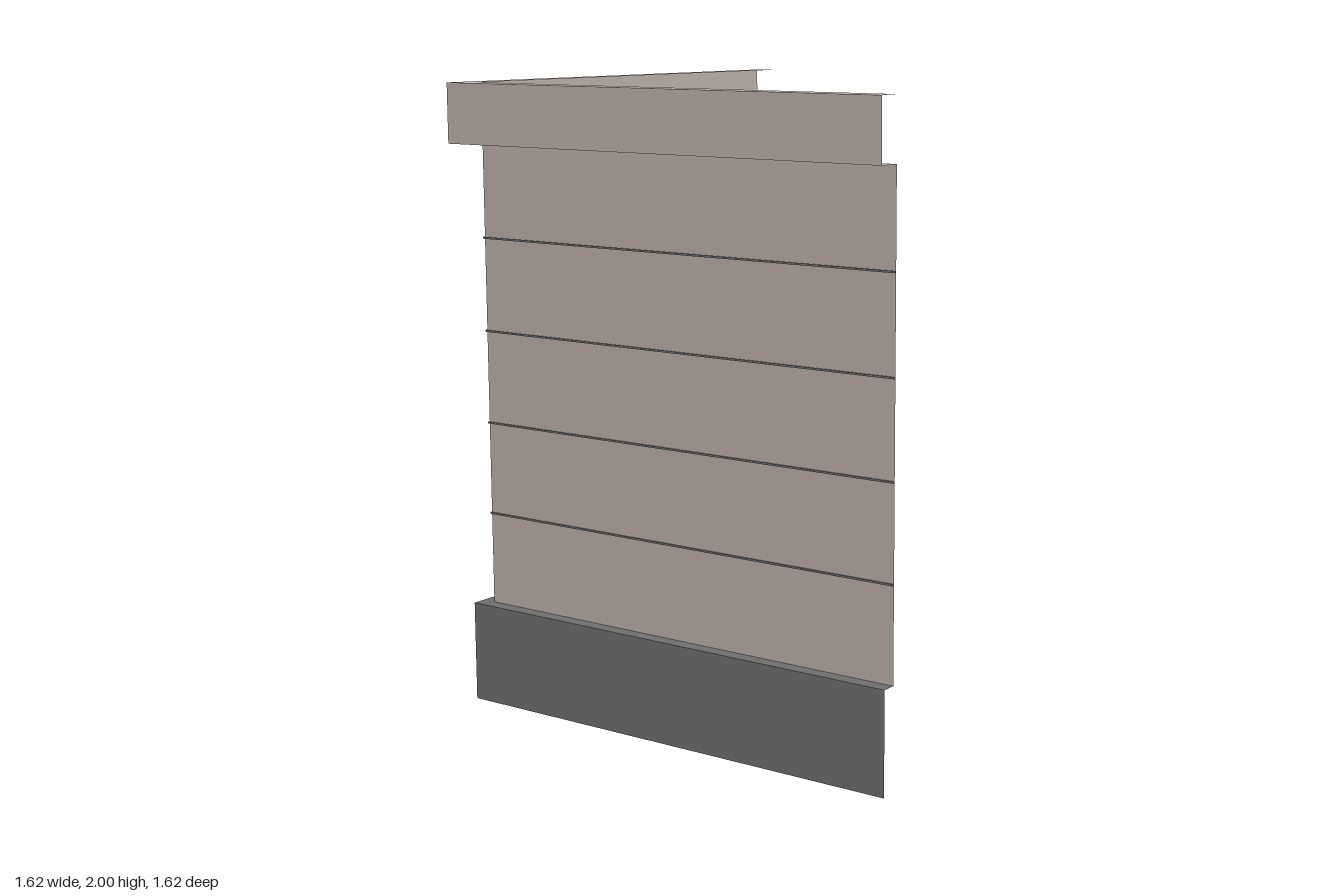
import * as THREE from 'three';

const END = 0.812; // free ends of both walls
const WALL = 0.737; // distance of the wall faces from the centre

// Sweeps an open profile of [offset, height] points, listed bottom to top,
// along the mitred corner path: back end -> corner -> right end.
function cornerSweep(profile) {
  const at = ([d, y], i) => [[-d, y, -END], [-d, y, d], [END, y, d]][i];
  const pos = [];
  for (let k = 0; k < profile.length - 1; k++) {
    for (let i = 0; i < 2; i++) {
      const a = at(profile[k], i), b = at(profile[k], i + 1);
      const c = at(profile[k + 1], i + 1), d = at(profile[k + 1], i);
      pos.push(...a, ...b, ...c, ...a, ...c, ...d);
    }
  }
  const g = new THREE.BufferGeometry();
  g.setAttribute('position', new THREE.Float32BufferAttribute(pos, 3));
  g.computeVertexNormals();
  return g;
}

export function createModel() {
  const group = new THREE.Group();
  group.name = 'cornerWall';

  const plaster = new THREE.MeshStandardMaterial({ color: 0xbfb3ac, side: THREE.DoubleSide });
  plaster.name = 'warm grey plaster';
  const stone = new THREE.MeshStandardMaterial({ color: 0x707070, side: THREE.DoubleSide });
  stone.name = 'dark grey stone';

  const add = (name, profile, material) => {
    const mesh = new THREE.Mesh(cornerSweep(profile), material);
    mesh.name = name;
    group.add(mesh);
  };

  // Plinth with a ledge running back to the wall
  add('plinth', [[0.782, 0], [0.782, 0.323], [WALL, 0.323]], stone);

  // Thin wall sheet
  add('wall', [[WALL, 0.323], [WALL, 1.81]], plaster);

  // Channel-shaped parapet, open on the inside
  add('parapet', [[WALL, 1.81], [END, 1.81], [END, 2], [WALL, 2]], plaster);

  // Horizontal joint strips on the outer faces
  const out = WALL + 0.004, half = 0.003;
  for (let i = 1; i <= 4; i++) {
    const y = 0.323 + i * 0.2974;
    add('jointStrip' + i, [[WALL, y - half], [out, y - half], [out, y + half], [WALL, y + half]], stone);
  }
  return group;
}
